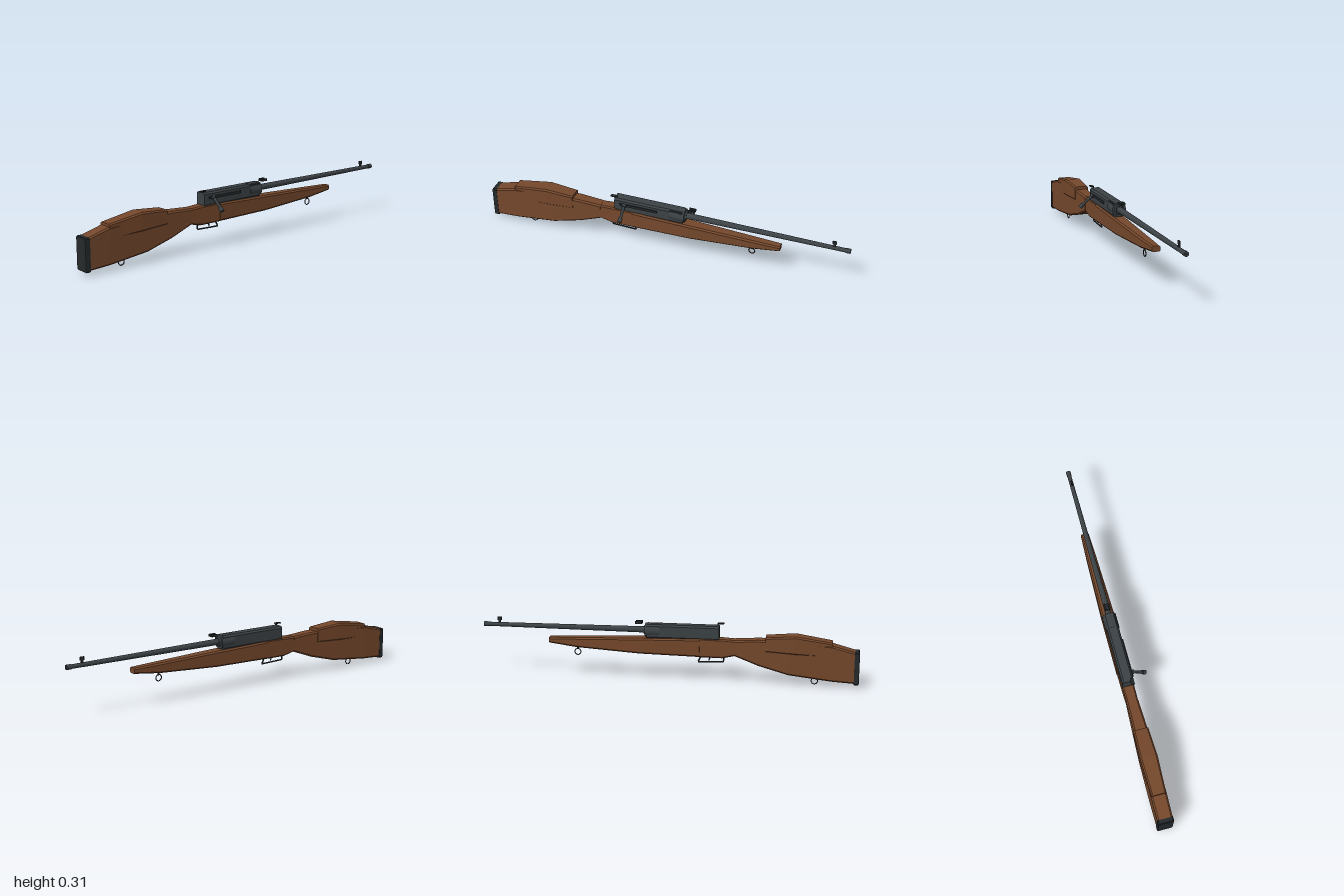
import * as THREE from 'three';

const CX = -0.035; // centre line of the rifle
const mat = (color, flat) => new THREE.MeshStandardMaterial({ color, flatShading: !!flat });

// Chamfered-rectangle loft along z. Stations: [z, width, yBottom, yTop, chamfer]
function loft(stations) {
  const rings = stations.map(([z, w, b, t, c]) => {
    const h = w / 2;
    return [[h, b + c], [h, t - c], [h - c, t], [c - h, t], [-h, t - c], [-h, b + c], [c - h, b], [h - c, b]]
      .map(([x, y]) => [x, y, z]);
  });
  const pos = [];
  const tri = (...p) => p.forEach((v) => pos.push(...v));
  for (let s = 0; s < rings.length - 1; s++) {
    const a = rings[s], b = rings[s + 1];
    for (let i = 0; i < 8; i++) {
      const j = (i + 1) % 8;
      tri(a[i], a[j], b[j]);
      tri(a[i], b[j], b[i]);
    }
  }
  const first = rings[0], last = rings[rings.length - 1];
  for (let i = 1; i < 7; i++) {
    tri(first[0], first[i + 1], first[i]);
    tri(last[0], last[i], last[i + 1]);
  }
  const g = new THREE.BufferGeometry();
  g.setAttribute('position', new THREE.Float32BufferAttribute(pos, 3));
  g.computeVertexNormals();
  return g;
}

export function createModel() {
  const root = new THREE.Group();
  root.name = 'rifle';
  const body = new THREE.Group();
  body.name = 'rifleBody';
  body.position.x = CX;
  root.add(body);

  const wood = mat(0x74472b, true);
  const steel = mat(0x3b4144);
  const steelFlat = mat(0x3b4144, true);
  const dark = mat(0x25292b, true);

  const add = (name, geo, material, x = 0, y = 0, z = 0) => {
    const m = new THREE.Mesh(geo, material);
    m.name = name;
    m.position.set(x, y, z);
    body.add(m);
    return m;
  };
  const box = (name, w, h, d, material, x, y, z) => add(name, new THREE.BoxGeometry(w, h, d), material, x, y, z);
  // Cylinder between two points
  const rod = (name, r0, r1, p0, p1, material, seg = 20) => {
    const a = new THREE.Vector3(...p0), b = new THREE.Vector3(...p1);
    const m = add(name, new THREE.CylinderGeometry(r1, r0, a.distanceTo(b), seg), material);
    m.position.copy(a).add(b).multiplyScalar(0.5);
    m.quaternion.setFromUnitVectors(new THREE.Vector3(0, 1, 0), b.sub(a).normalize());
    return m;
  };

  // Wooden furniture
  add('buttStock', loft([
    [0.355, 0.063, 0.142, 0.227, 0.008],
    [0.48, 0.07, 0.095, 0.234, 0.008],
    [0.635, 0.079, 0.053, 0.232, 0.008],
    [0.86, 0.082, 0.028, 0.219, 0.008],
    [0.976, 0.08, 0.021, 0.188, 0.008],
  ]), wood);
  add('cheekPiece', loft([
    [0.515, 0.078, 0.172, 0.25, 0.007],
    [0.67, 0.09, 0.164, 0.262, 0.008],
    [0.86, 0.076, 0.154, 0.233, 0.007],
  ]), wood);
  add('wrist', loft([
    [0.168, 0.066, 0.13, 0.232, 0.007],
    [0.29, 0.062, 0.128, 0.23, 0.007],
    [0.357, 0.06, 0.143, 0.226, 0.007],
  ]), wood);
  add('foreStock', loft([
    [-0.64, 0.044, 0.176, 0.205, 0.007],
    [-0.49, 0.054, 0.157, 0.21, 0.008],
    [-0.15, 0.069, 0.137, 0.221, 0.008],
    [0.17, 0.07, 0.131, 0.228, 0.008],
  ]), wood);
  add('buttPad', loft([
    [0.974, 0.083, 0.015, 0.188, 0.005],
    [0.996, 0.083, 0.015, 0.188, 0.005],
    [1.0, 0.079, 0.018, 0.185, 0.005],
  ]), dark);

  // Receiver with front ring, bolt track and port
  add('receiver', loft([
    [-0.11, 0.062, 0.222, 0.297, 0.009],
    [0.272, 0.062, 0.222, 0.297, 0.009],
  ]), steelFlat);
  rod('receiverRing', 0.037, 0.037, [0, 0.262, -0.04], [0, 0.262, -0.12], steel, 28);
  rod('barrelCollar', 0.027, 0.022, [0, 0.262, -0.118], [0, 0.262, -0.128], steel, 28);
  box('boltTrack', 0.008, 0.013, 0.21, dark, 0.033, 0.268, 0.135);
  box('ejectionPort', 0.01, 0.012, 0.065, dark, 0.026, 0.288, -0.072);

  // Barrel and muzzle
  rod('barrel', 0.0165, 0.011, [0, 0.263, -0.12], [0, 0.263, -0.98], steel, 24);
  rod('muzzle', 0.013, 0.013, [0, 0.263, -0.975], [0, 0.263, -1.0], steel, 24);
  rod('bore', 0.006, 0.006, [0, 0.263, -0.99], [0, 0.263, -1.0005], dark, 16);

  // Bolt handle on the model's left
  rod('boltCollar', 0.012, 0.012, [0.03, 0.27, 0.214], [0.042, 0.262, 0.214], steel, 16);
  rod('boltHandle', 0.0075, 0.007, [0.034, 0.27, 0.214], [0.094, 0.217, 0.214], steel, 16);
  rod('boltKnob', 0.0115, 0.0115, [0.09, 0.221, 0.214], [0.107, 0.206, 0.214], steel, 16);

  // Safety lever
  box('safetyLever', 0.018, 0.005, 0.034, dark, 0.02, 0.305, 0.277);
  box('safetyPost', 0.006, 0.012, 0.008, dark, 0.014, 0.299, 0.265);

  // Sights
  box('rearSightBase', 0.03, 0.005, 0.036, dark, 0, 0.298, -0.155);
  for (const s of [-1, 1]) box('rearSightPost', 0.008, 0.011, 0.036, dark, s * 0.011, 0.303, -0.155);
  box('frontSightBase', 0.008, 0.022, 0.012, dark, 0, 0.282, -0.915);
  box('frontSightBlade', 0.007, 0.017, 0.022, dark, 0, 0.295, -0.914);

  // Trigger and guard
  const path = new THREE.CurvePath();
  const pts = [[0.297, 0.13], [0.294, 0.102], [0.16, 0.098], [0.178, 0.134]]
    .map(([z, y]) => new THREE.Vector3(0, y, z));
  for (let i = 0; i < 3; i++) path.add(new THREE.LineCurve3(pts[i], pts[i + 1]));
  add('triggerGuard', new THREE.TubeGeometry(path, 60, 0.004, 8), dark);
  box('triggerPlate', 0.026, 0.006, 0.13, dark, 0, 0.129, 0.235);
  rod('trigger', 0.004, 0.003, [0, 0.132, 0.226], [0, 0.108, 0.217], dark, 8);

  // Sling loops under the stock
  for (const [name, y, z] of [['frontSlingLoop', 0.128, -0.488], ['rearSlingLoop', 0.019, 0.772]]) {
    const loop = add(name, new THREE.TorusGeometry(0.0165, 0.0027, 8, 24), dark, 0, y, z);
    loop.rotation.y = Math.PI / 2;
    rod(name + 'Stud', 0.005, 0.005, [0, y + 0.014, z], [0, y + 0.034, z], dark, 10);
  }

  return root;
}
